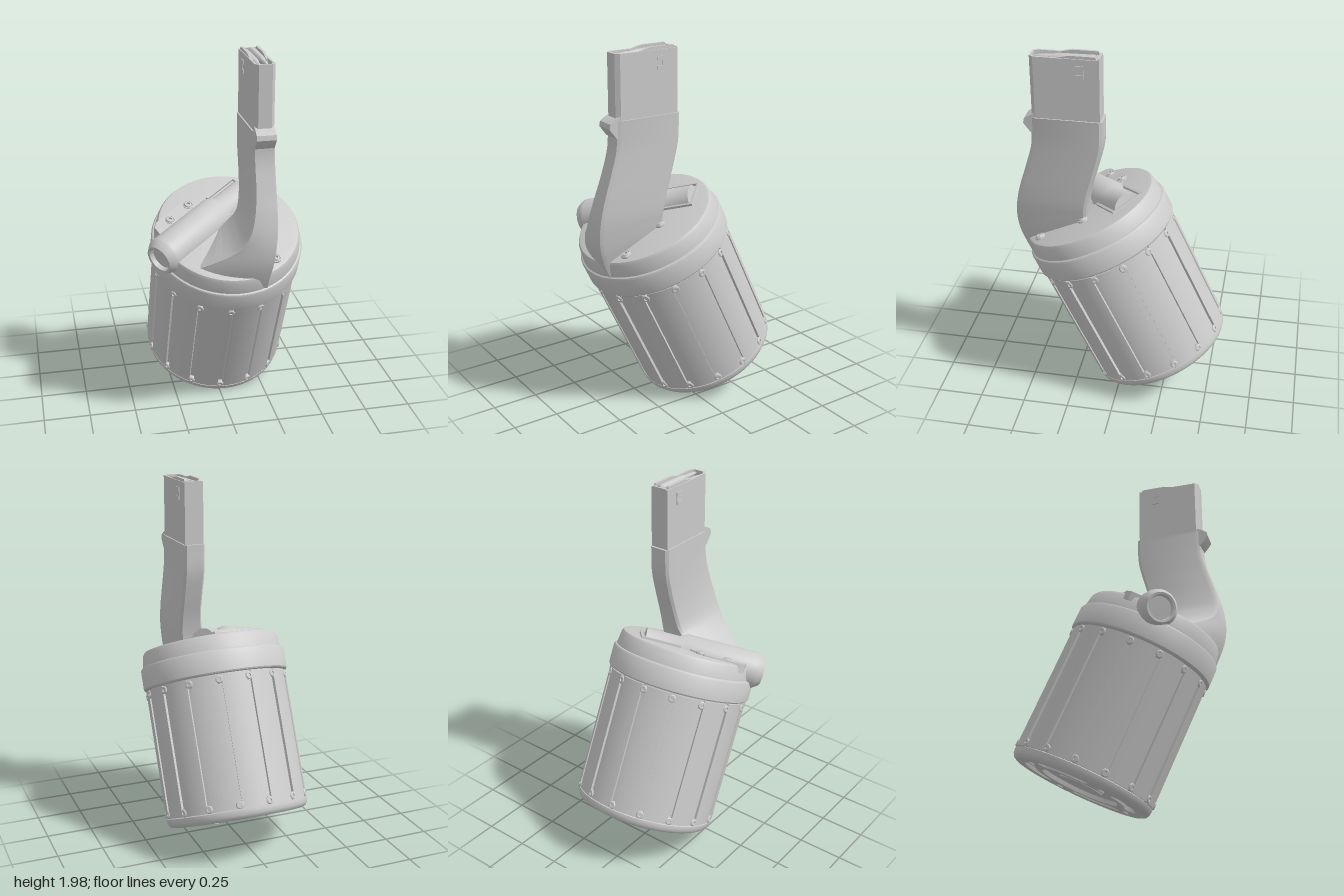
import * as THREE from 'three';
import { toCreasedNormals } from 'three/addons/utils/BufferGeometryUtils.js';

const V2 = (a) => a.map(([x, y]) => new THREE.Vector2(x, y));

export function createModel() {
  const model = new THREE.Group();
  const grey = new THREE.MeshStandardMaterial({ color: 0xcccccc, side: THREE.DoubleSide });

  const add = (parent, name, geometry, x = 0, y = 0, z = 0, crease = 0.55) => {
    const mesh = new THREE.Mesh(toCreasedNormals(geometry, crease), grey);
    mesh.name = name;
    mesh.position.set(x, y, z);
    parent.add(mesh);
    return mesh;
  };
  const lathe = (points, sides = 72) => new THREE.LatheGeometry(V2(points), sides);
  // Extrudes a plan shape (x, -z) upward
  const extrudeUp = (shape, depth) => new THREE.ExtrudeGeometry(shape, {
    depth, bevelEnabled: false, curveSegments: 48,
  }).rotateX(-Math.PI / 2);
  // Arc-shaped band outline
  const band = (r0, r1, a0, a1, Type = THREE.Shape) => {
    const s = new Type();
    s.absarc(0, 0, r1, a0, a1, false);
    s.absarc(0, 0, r0, a1, a0, true);
    s.closePath();
    return s;
  };

  // ---- Tilted drum ----
  const drum = new THREE.Group();
  drum.name = 'drum';
  drum.position.set(0.033, 0.18, -0.22);
  drum.rotation.x = THREE.MathUtils.degToRad(25.5);
  model.add(drum);

  add(drum, 'drumCore', lathe([[0, 0.025], [0.355, 0.025], [0.355, 0.004], [0.365, 0], [0.38, 0.007],
    [0.39, 0.022], [0.393, 0.04], [0.393, 0.05], [0.379, 0.055], [0.379, 0.775]]));
  add(drum, 'lid', lathe([[0.375, 0.765], [0.4, 0.768], [0.405, 0.775], [0.405, 0.88], [0.399, 0.89],
    [0.391, 0.893], [0.381, 0.962], [0.372, 0.976], [0.355, 0.98], [0, 0.98]]));

  // Side panels separated by grooves with a button at each end
  const count = 15, step = (Math.PI * 2) / count, gap = 0.033;
  for (let i = 0; i < count; i++) {
    const phi = THREE.MathUtils.degToRad(-5.5) + i * step;
    const a = phi - Math.PI / 2;
    add(drum, 'sidePanel', extrudeUp(band(0.375, 0.393, a + gap, a + step - gap), 0.705), 0, 0.055, 0);
    for (const y of [0.075, 0.735]) {
      const button = add(drum, 'panelButton',
        lathe([[0.021, 0], [0.021, 0.022], [0.017, 0.026], [0.009, 0.026], [0.008, 0.02], [0, 0.02]], 14),
        0.373 * Math.sin(phi), y, 0.373 * Math.cos(phi));
      button.rotation.set(Math.PI / 2, 0, -phi);
    }
  }

  // Bottom plate with four curved slots, screws and a central disc
  const plate = new THREE.Shape().absarc(0, 0, 0.357, 0, Math.PI * 2);
  plate.holes.push(new THREE.Path().absarc(0, 0, 0.215, 0, Math.PI * 2));
  for (let i = 0; i < 4; i++) {
    const a = i * Math.PI / 2;
    const slot = new THREE.Path();
    const end = (b) => [0.285 * Math.cos(b), 0.285 * Math.sin(b)];
    slot.absarc(0, 0, 0.315, a - 0.42, a + 0.42, false);
    slot.absarc(...end(a + 0.42), 0.03, a + 0.42, a + 0.42 + Math.PI, false);
    slot.absarc(0, 0, 0.255, a + 0.42, a - 0.42, true);
    slot.absarc(...end(a - 0.42), 0.03, a - 0.42 + Math.PI, a - 0.42 + Math.PI * 2, false);
    plate.holes.push(slot);
    const b = a + Math.PI / 4;
    add(drum, 'bottomScrew', new THREE.CylinderGeometry(0.016, 0.016, 0.012, 12),
      0.295 * Math.cos(b), 0, 0.295 * Math.sin(b));
  }
  add(drum, 'bottomPlate', extrudeUp(plate, 0.024), 0, 0.003, 0);
  add(drum, 'bottomDisc', new THREE.CylinderGeometry(0.12, 0.12, 0.014, 40), 0, 0.02, 0);

  // Lid screws
  for (const [x, z] of [[-0.303, -0.065], [-0.19, -0.163], [0.2, 0.255], [0.165, 0]]) {
    add(drum, 'lidScrew', lathe([[0.028, 0], [0.028, 0.01], [0.023, 0.013], [0.021, 0.008],
      [0.018, 0.016], [0.01, 0.018], [0.009, 0.008], [0, 0.008]], 20), x, 0.98, z);
  }

  // ---- Diagonal tube let into the lid; its local y runs from open end to tip ----
  const tube = new THREE.Group();
  tube.name = 'crossTube';
  tube.position.set(-0.385, 0.95, 0.162);
  const dir = new THREE.Vector3(0.53, 0, -0.427).normalize();
  const up = new THREE.Vector3(0, 1, 0);
  tube.quaternion.setFromRotationMatrix(
    new THREE.Matrix4().makeBasis(new THREE.Vector3().crossVectors(dir, up), dir, up));
  drum.add(tube);
  add(tube, 'tubeBody', lathe([[0, 0.012], [0.062, 0.012], [0.066, -0.012], [0.078, -0.014], [0.1, 0.02],
    [0.102, 0.035], [0.102, 0.43], [0.08, 0.475], [0.08, 0.66], [0, 0.66]], 48));
  // Flat flange beside the tube, under two of the screws
  const flange = new THREE.Shape(V2([[-0.08, 0.09], [-0.145, 0.11], [-0.165, 0.14], [-0.165, 0.34],
    [-0.09, 0.42], [0, 0.42], [0, 0.09]]));
  add(tube, 'tubeFlange', new THREE.ExtrudeGeometry(flange, { depth: 0.05, bevelEnabled: false }), 0, 0, -0.012);
  // Thin frame around the tip
  for (const s of [-1, 1]) {
    add(tube, 'tipFrameSide', new THREE.BoxGeometry(0.012, 0.22, 0.03), s * 0.09, 0.575, 0.028);
  }
  add(tube, 'tipFrameEnd', new THREE.BoxGeometry(0.192, 0.012, 0.03), 0, 0.68, 0.028);

  // ---- Curved neck flaring into the lid ----
  // front y, front z, left-front x, left-front z, back y, back z, left-back x, right x
  const rows = [
    [0.81, 0.49, -0.3, 0.35, 0.95, 0.2, -0.1, 0.185],
    [0.9, 0.53, -0.25, 0.4, 1.0, 0.2, -0.09, 0.19],
    [0.98, 0.555, -0.12, 0.48, 1.05, 0.19, -0.03, 0.2],
    [1.06, 0.565, 0, 0.535, 1.1, 0.185, 0.03, 0.207],
    [1.14, 0.56, 0.055, 0.55, 1.15, 0.18, 0.075, 0.213],
    [1.24, 0.54, 0.083, 0.535, 1.24, 0.162, 0.093, 0.215],
    [1.37, 0.5, 0.096, 0.496, 1.37, 0.125, 0.098, 0.215],
    [1.51, 0.462, 0.097, 0.458, 1.51, 0.092, 0.097, 0.215],
    [1.655, 0.458, 0.097, 0.454, 1.655, 0.088, 0.097, 0.215],
  ];
  const section = ([yF, zF, xL, zL, yB, zB, xB, xR]) => {
    const pts = [[xR, yF, zF - 0.025], [xR, yB, zB + 0.015], [xR - 0.012, yB, zB],
      [xB + 0.012, yB, zB], [xB, yB, zB + 0.015], [xL, yF, zL - 0.025]];
    const w = xR - xL;
    for (let i = 0; i <= 8; i++) {
      const u = i / 8;
      const bow = (0.13 * w - 0.015) * 4 * u * (1 - u);
      pts.push([xL + 0.012 + (w - 0.024) * u, yF, zL + (zF - zL) * u + bow]);
    }
    return pts.map((p) => new THREE.Vector3(...p));
  };
  const sections = rows.map(section);
  const cols = sections[0].length, levels = 48;
  const position = [], index = [];
  const columns = sections[0].map((_, j) => new THREE.CatmullRomCurve3(sections.map((s) => s[j])));
  for (let k = 0; k <= levels; k++) {
    columns.forEach((c) => position.push(...c.getPoint(k / levels).toArray()));
  }
  for (let k = 0; k < levels; k++) {
    for (let j = 0; j < cols; j++) {
      const a = k * cols + j, b = k * cols + (j + 1) % cols;
      index.push(a, b, b + cols, a, b + cols, a + cols);
    }
  }
  position.push(0.155, 1.655, 0.27);
  for (let j = 0; j < cols; j++) {
    index.push((levels + 1) * cols, levels * cols + j, levels * cols + (j + 1) % cols);
  }
  const neck = new THREE.BufferGeometry();
  neck.setAttribute('position', new THREE.Float32BufferAttribute(position, 3));
  neck.setIndex(index);
  add(model, 'neck', neck);

  // Stop ledge on the front of the neck
  const ledge = new THREE.Shape(V2([[-0.43, 1.68], [-0.465, 1.665], [-0.495, 1.645], [-0.5, 1.62],
    [-0.485, 1.6], [-0.462, 1.57], [-0.43, 1.55]]));
  add(model, 'stopLedge', new THREE.ExtrudeGeometry(ledge, { depth: 0.1, bevelEnabled: false })
    .rotateY(Math.PI / 2), 0.106, 0, 0);

  // ---- Straight feed tower, open at the top ----
  const outline = (d, Type) => new Type(V2([[0.104 + d, -0.1 - d], [0.208 - d, -0.1 - d],
    [0.208 - d, -0.435 + d], [0.19 - d / 2, -0.456 + d], [0.122 + d / 2, -0.456 + d], [0.104 + d, -0.435 + d]]));
  const tower = outline(0, THREE.Shape);
  tower.holes.push(outline(0.011, THREE.Path));
  add(model, 'feedTower', extrudeUp(tower, 0.345), 0, 1.64, 0);
  add(model, 'follower', new THREE.BoxGeometry(0.085, 0.03, 0.33), 0.156, 1.93, 0.28);

  // Feed lips and side catches
  for (const s of [-1, 1]) {
    const lip = new THREE.Shape(V2([[-0.1, 1.96], [-0.12, 2], [-0.25, 2], [-0.29, 1.992], [-0.33, 1.98], [-0.33, 1.96]]));
    add(model, 'feedLip', new THREE.ExtrudeGeometry(lip, { depth: 0.014, bevelEnabled: false })
      .rotateY(Math.PI / 2), 0.149 + s * 0.04, 0, 0);
    for (const y of [1.895, 1.942]) {
      add(model, 'sideCatch', new THREE.BoxGeometry(0.01, 0.02, 0.042), 0.156 + s * 0.052, y, 0.2);
    }
    add(model, 'catchBar', new THREE.BoxGeometry(0.008, 0.05, 0.012), 0.156 + s * 0.052, 1.92, 0.185);
  }
  add(model, 'towerRearWall', new THREE.BoxGeometry(0.09, 0.03, 0.012), 0.156, 1.975, 0.106);

  // Two rounds pointing forward
  for (const [x, y] of [[0.137, 1.965], [0.17, 1.974]]) {
    add(model, 'round', lathe([[0, 0], [0.02, 0], [0.02, 0.008], [0.017, 0.012], [0.021, 0.018], [0.019, 0.2],
      [0.012, 0.23], [0.012, 0.26], [0.009, 0.295], [0.004, 0.32], [0, 0.326]], 20)
      .rotateX(Math.PI / 2), x, y, 0.118);
  }
  return model;
}
